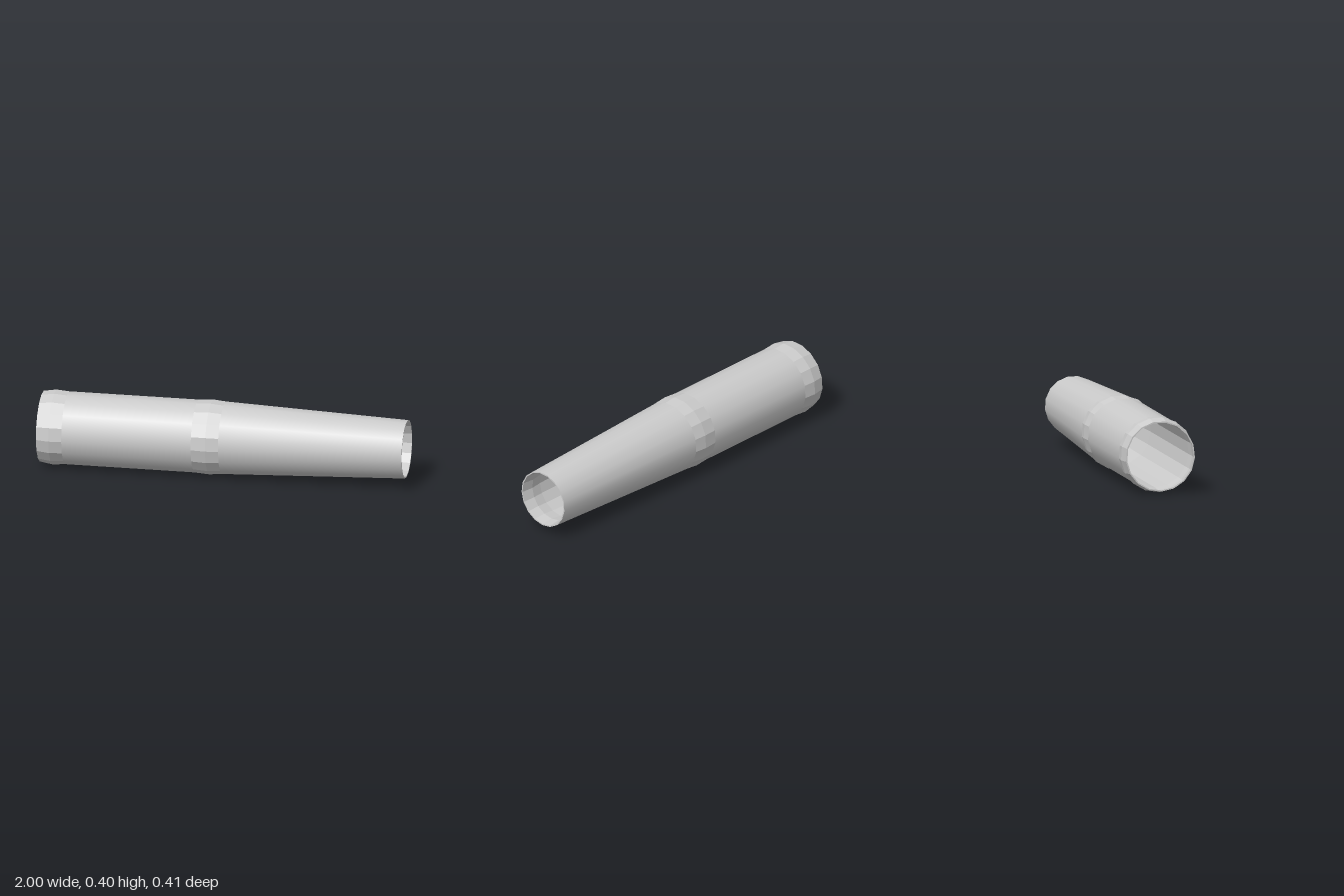
import * as THREE from 'three';

const SIDES = 17;
const AXIS_Y = 0.2035;
const material = new THREE.MeshStandardMaterial({ color: 0xcccccc });

// Revolves a profile of [x, radius] points around the tube's long axis.
// Profiles running towards +x face outwards, those towards -x face inwards.
function ring(name, profile, flat) {
  const points = profile.map(([x, r]) => new THREE.Vector2(r, x));
  let geometry = new THREE.LatheGeometry(points, SIDES, Math.PI / 2 - 0.027);
  if (flat) {
    geometry = geometry.toNonIndexed();
    geometry.computeVertexNormals();
  }
  geometry.rotateZ(-Math.PI / 2);
  const mesh = new THREE.Mesh(geometry, material);
  mesh.name = name;
  return mesh;
}

export function createModel() {
  const tube = new THREE.Group();
  tube.name = 'taperedTube';
  tube.position.y = AXIS_Y;

  tube.add(
    // Outer skin: faceted swellings between smooth lengths
    ring('endCollar', [[-1, 0.192], [-0.93, 0.2035], [-0.86, 0.198]], true),
    ring('straightBarrel', [[-0.86, 0.198], [-0.15, 0.198]], false),
    ring('middleCollar', [[-0.15, 0.198], [-0.07, 0.2035], [0, 0.197]], true),
    ring('taperedBarrel', [[0, 0.197], [1, 0.159]], false),
    // Thin rims at both ends
    ring('narrowRim', [[1, 0.159], [1, 0.152]], true),
    ring('wideRim', [[-1, 0.185], [-1, 0.192]], true),
    // Bore, with a slight lip inside the narrow end
    ring('innerLip', [[1, 0.152], [0.93, 0.145], [0.86, 0.155]], true),
    ring('bore', [[0.86, 0.155], [0, 0.189], [-0.86, 0.19], [-0.93, 0.193], [-1, 0.185]], true)
  );

  const model = new THREE.Group();
  model.name = 'tube';
  model.add(tube);
  return model;
}
